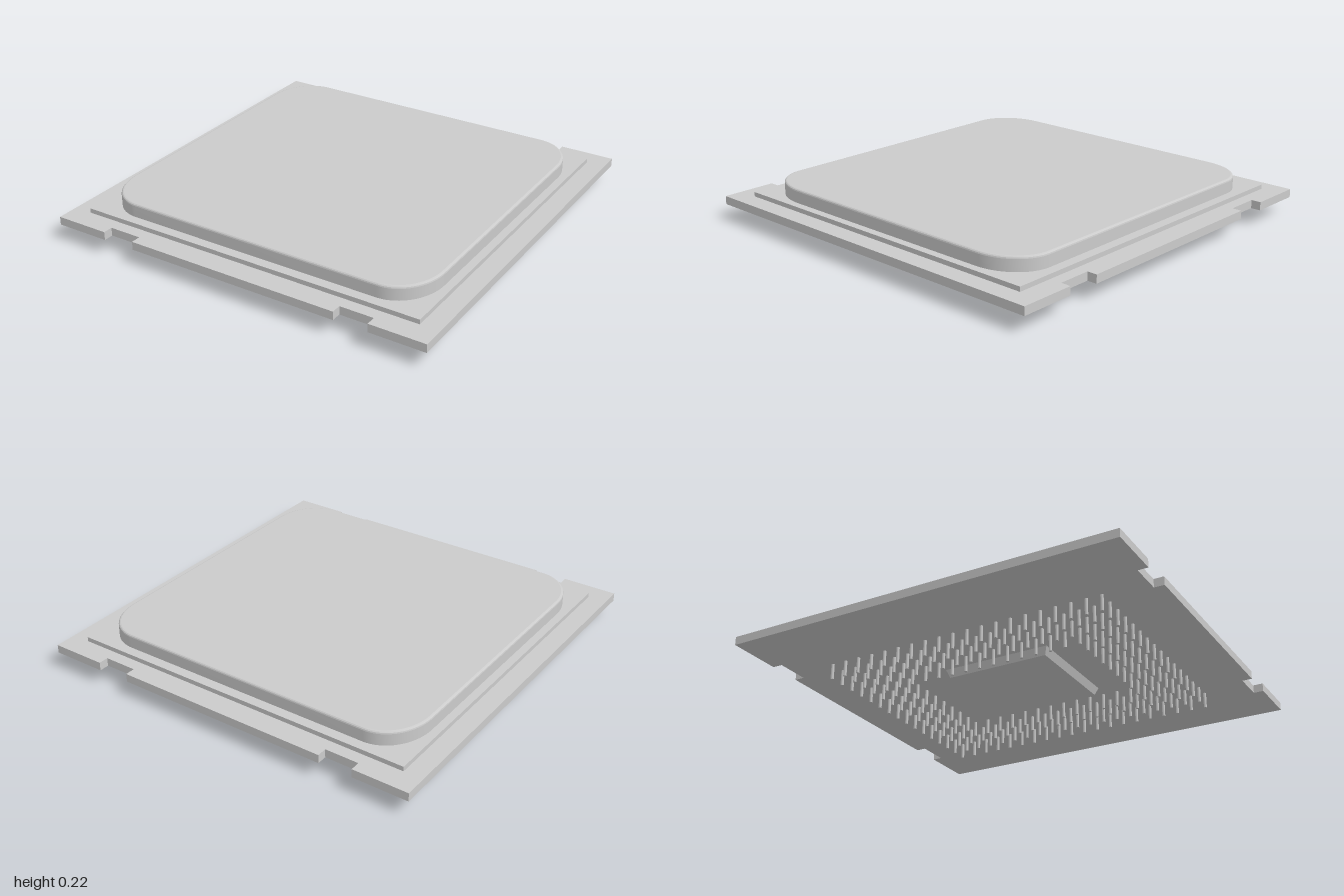
import * as THREE from 'three';
import { toCreasedNormals } from 'three/addons/utils/BufferGeometryUtils.js';

const material = new THREE.MeshStandardMaterial({ color: 0xcccccc });

function part(name, geometry) {
  const mesh = new THREE.Mesh(geometry, material);
  mesh.name = name;
  return mesh;
}

// Extrude a plan outline upwards, starting at height y
function slab(shape, y, options) {
  const g = new THREE.ExtrudeGeometry(shape, options);
  g.rotateX(-Math.PI / 2);
  g.translate(0, y, 0);
  return g;
}

// Square board with two notches in the front and back edges
function boardShape() {
  const edge = [[-1, 1], [-0.72, 1], [-0.72, 0.95], [-0.55, 0.95], [-0.55, 1],
    [0.55, 1], [0.55, 0.95], [0.72, 0.95], [0.72, 1], [1, 1]];
  const outline = [...edge, ...edge.map(([x, z]) => [-x, -z])];
  return new THREE.Shape(outline.map(([x, z]) => new THREE.Vector2(x, z)));
}

// Rectangle with elliptical corners
function lidShape(w, d, rx, rz) {
  const s = new THREE.Shape();
  s.moveTo(w, -d + rz);
  [[1, 1], [-1, 1], [-1, -1], [1, -1]].forEach(([sx, sz], i) => {
    const a = i * Math.PI / 2;
    s.absellipse(sx * (w - rx), sz * (d - rz), rx, rz, a, a + Math.PI / 2, false, 0);
  });
  return s;
}

export function createModel() {
  const group = new THREE.Group();

  // Board
  group.add(part('board', slab(boardShape(), 0.08, { depth: 0.042, bevelEnabled: false })));

  // Heat spreader: thin flange and rounded lid with a softened top edge
  const flange = part('flange', new THREE.BoxGeometry(1.81, 0.025, 1.78));
  flange.position.y = 0.1325;
  group.add(flange);

  const bevel = 0.012;
  const lid = slab(lidShape(0.865, 0.84, 0.2, 0.24), 0.14, {
    depth: 0.215 - 0.14 - bevel, curveSegments: 14,
    bevelThickness: bevel, bevelSize: bevel, bevelOffset: -bevel, bevelSegments: 3,
  });
  group.add(part('lid', toCreasedNormals(lid, 0.2)));

  // Tapered square block under the board
  const block = new THREE.BoxGeometry(0.56, 0.04, 0.56);
  const p = block.attributes.position;
  for (let i = 0; i < p.count; i++) {
    if (p.getY(i) < 0) p.setXYZ(i, p.getX(i) * 0.945, p.getY(i), p.getZ(i) * 0.945);
  }
  block.computeVertexNormals();
  const underBlock = part('underBlock', block);
  underBlock.position.y = 0.06;
  group.add(underBlock);

  // Pins: a rectangular grid, four rows deep around an empty centre
  const pins = new THREE.Group();
  pins.name = 'pins';
  const pinGeometry = new THREE.CylinderGeometry(0.008, 0.008, 0.08, 8);
  const columns = 16, rows = 20, ring = 4;
  for (let i = 0; i < columns; i++) {
    for (let j = 0; j < rows; j++) {
      const inside = i >= ring && i < columns - ring && j >= ring && j < rows - ring;
      if (inside) continue;
      const pin = part('pin', pinGeometry);
      pin.position.set((i - (columns - 1) / 2) * 0.0803, 0.04, (j - (rows - 1) / 2) * 0.0765);
      pins.add(pin);
    }
  }
  group.add(pins);

  return group;
}
